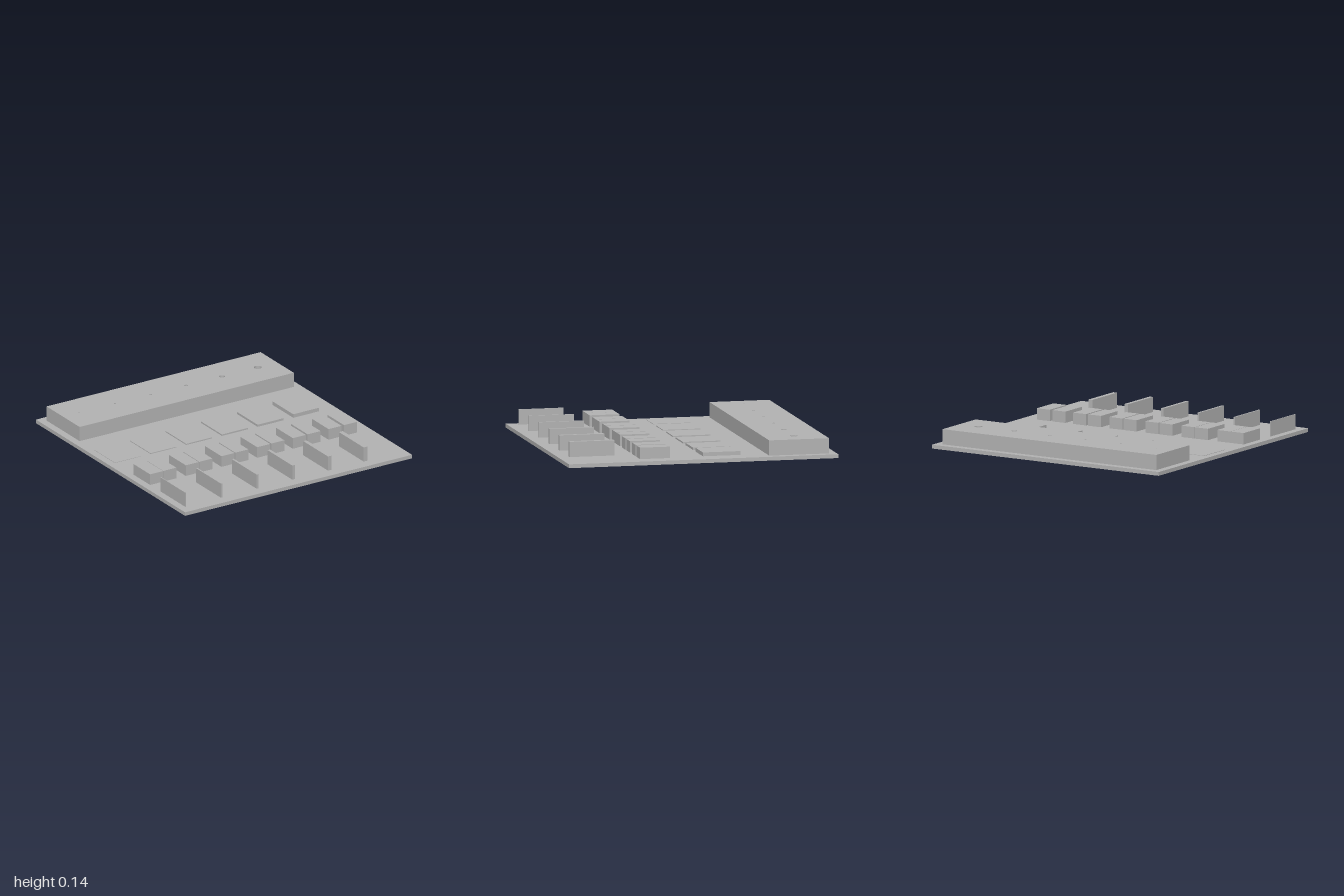
import * as THREE from 'three';

const U = 1 / 36; // one millimetre of the test plate in model units

export function createModel() {
  const model = new THREE.Group();
  const plastic = new THREE.MeshStandardMaterial({ color: 0xb2b2b2 });
  plastic.name = 'grey plastic';

  // Box given by its left, bottom and back corner and its size, in millimetres
  function addBox(name, x, y, z, w, h, d) {
    const mesh = new THREE.Mesh(new THREE.BoxGeometry(w * U, h * U, d * U), plastic);
    mesh.name = name;
    mesh.position.set((x + w / 2) * U, (y + h / 2) * U, (z + d / 2) * U);
    model.add(mesh);
  }

  // Base plate
  addBox('basePlate', -35, 0, -36, 70, 1, 72);

  const wallWidths = [0.2, 0.4, 0.6, 0.8, 1.0, 1.2];
  const gaps = [0.1, 0.2, 0.3, 0.4, 0.6, 0.8];
  const padHeights = [0.1, 0.2, 0.3, 0.4, 0.6, 1.0];
  const holeDiameters = [0.4, 0.6, 0.8, 1.0, 1.5, 2.0];

  // Outline of the hole block, seen from above (shape y is -z)
  const outline = new THREE.Shape();
  outline.moveTo(-33, 18).lineTo(33, 18).lineTo(33, 34).lineTo(-33, 34).closePath();

  for (let i = 0; i < 6; i++) {
    const x = -33 + 11 * i;
    addBox('thinWall' + (i + 1), x, 1, 21, wallWidths[i], 4, 12);
    addBox('gapBlockRight' + (i + 1), x, 1, 8, 4, 3, 8);
    addBox('gapBlockLeft' + (i + 1), x + 4 + gaps[i], 1, 8, 4, 3, 8);
    addBox('stepPad' + (i + 1), x, 1, -11, 8, padHeights[i], 10);
    outline.holes.push(new THREE.Path().absarc(x + 5, 26, holeDiameters[i] / 2, 0, Math.PI * 2, true));
  }

  // Hole block with holes of growing size
  const geometry = new THREE.ExtrudeGeometry(outline, { depth: 4, bevelEnabled: false, curveSegments: 24 });
  geometry.rotateX(-Math.PI / 2).translate(0, 1, 0).scale(U, U, U);
  const block = new THREE.Mesh(geometry, plastic);
  block.name = 'holeBlock';
  model.add(block);

  return model;
}
